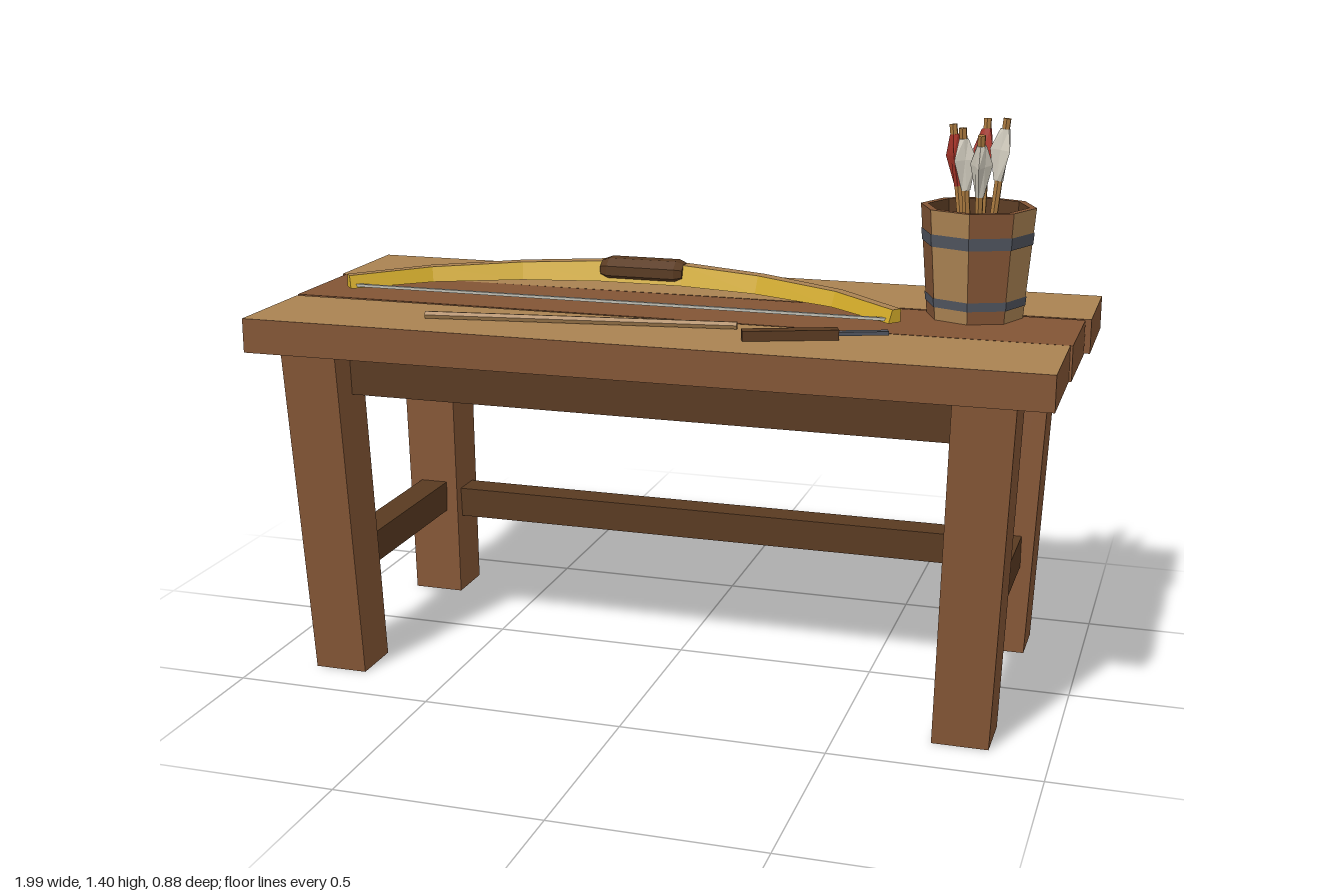
import * as THREE from 'three';

const mat = (name, color, side = THREE.FrontSide) => {
  const m = new THREE.MeshStandardMaterial({ color, side });
  m.name = name;
  return m;
};
const V = (x, y, z) => new THREE.Vector3(x, y, z);

// Flat facets for low-poly shapes
function facet(geo) {
  const g = geo.index ? geo.toNonIndexed() : geo;
  g.computeVertexNormals();
  return g;
}

// Skin a list of rings (counter-clockwise about the path) and cap the ends.
// matOf(j) gives the material index of ring side j; caps use index 0.
function loft(rings, matOf = () => 0, openStart = false) {
  const pos = [], geo = new THREE.BufferGeometry(), n = rings[0].length;
  const tri = (...pts) => pts.forEach(p => pos.push(p.x, p.y, p.z));
  for (let j = 0; j < n; j++) {
    const start = pos.length / 3, k = (j + 1) % n;
    for (let i = 0; i < rings.length - 1; i++) {
      const a = rings[i], b = rings[i + 1];
      tri(a[j], a[k], b[k]);
      tri(a[j], b[k], b[j]);
    }
    geo.addGroup(start, pos.length / 3 - start, matOf(j));
  }
  const start = pos.length / 3, first = rings[0], last = rings[rings.length - 1];
  for (let j = 1; j < n - 1; j++) {
    if (!openStart) tri(first[0], first[j + 1], first[j]);
    tri(last[0], last[j], last[j + 1]);
  }
  geo.addGroup(start, pos.length / 3 - start, 0);
  geo.setAttribute('position', new THREE.Float32BufferAttribute(pos, 3));
  geo.computeVertexNormals();
  return geo;
}

// Rectangular ring at height y
const rect = (x, y, z, w, d) => [
  V(x + w / 2, y, z + d / 2), V(x + w / 2, y, z - d / 2), V(x - w / 2, y, z - d / 2), V(x - w / 2, y, z + d / 2)];

export function createModel() {
  const root = new THREE.Group();
  root.name = 'archeryWorkbench';

  const tan = mat('paleWood', 0xaa8252, THREE.DoubleSide);
  const brown = mat('brownWood', 0x835535, THREE.DoubleSide);
  const dark = mat('darkWood', 0x593a21);
  const yellow = mat('yellowBowWood', 0xcfa828);
  const iron = mat('iron', 0x50545e);
  const shaftWood = mat('shaftWood', 0xa9793f);
  const white = mat('whiteFeather', 0xd2cdbf);
  const red = mat('redFeather', 0xa8352a);
  const cord = mat('cord', 0xbebcb2);

  const add = (name, geo, material, parent = root) => {
    const m = new THREE.Mesh(geo, material);
    m.name = name;
    parent.add(m);
    return m;
  };
  const box = (name, material, w, h, d, x, y, z, parent) => {
    const m = add(name, new THREE.BoxGeometry(w, h, d), material, parent);
    m.position.set(x, y, z);
    return m;
  };
  // Rod between two points
  const rod = (name, material, a, b, r, sides, parent) => {
    const m = add(name, facet(new THREE.CylinderGeometry(r, r, a.distanceTo(b), sides)), material, parent);
    m.position.copy(a).lerp(b, 0.5);
    m.quaternion.setFromUnitVectors(V(0, 1, 0), b.clone().sub(a).normalize());
  };

  // Table top: three slightly uneven planks, hollow underneath
  const plank = (name, face, w, d, z, turn) => {
    const geo = loft([rect(0, 0.83, 0, w, d), rect(0, 0.915, 0, w, d)], () => 1, true);
    const m = add(name, geo, [face, brown]);
    m.position.set(-0.003, 0, z);
    m.rotation.y = turn;
  };
  plank('backPlank', tan, 1.99, 0.29, -0.289, 0.007);
  plank('middlePlank', brown, 1.965, 0.28, 0, 0);
  plank('frontPlank', tan, 1.955, 0.286, 0.29, 0.006);

  // Splayed, tapering legs, hollow at the foot
  for (const sx of [-1, 1]) for (const sz of [-1, 1]) {
    const foot = rect(sx * 0.79, 0, sz * 0.307, 0.134, 0.134);
    const head = rect(sx * 0.821, 0.832, sz * 0.343, 0.144, 0.144);
    add('leg', loft([foot, head], () => 0, true), brown);
  }

  // Apron and stretchers
  box('frontApron', dark, 1.54, 0.115, 0.07, 0, 0.774, 0.3);
  box('backStretcher', dark, 1.5, 0.08, 0.08, 0, 0.25, -0.32);
  for (const sx of [-1, 1]) box('sideStretcher', dark, 0.075, 0.082, 0.53, sx * 0.8, 0.273, 0);

  // Bow lying on the table: tan back, yellow sides
  const bow = new THREE.Group();
  bow.name = 'bow';
  root.add(bow);
  const half = [[0.11, -0.165], [0.32, -0.13], [0.54, -0.04], [0.71, 0.1]];
  const path = [...half.map(([x, z]) => [-x, z]).reverse(), ...half];
  const rings = path.map(([x, z], i) => {
    const p = path[Math.max(i - 1, 0)], q = path[Math.min(i + 1, path.length - 1)];
    const len = Math.hypot(q[0] - p[0], q[1] - p[1]);
    const nx = -(q[1] - p[1]) / len, nz = (q[0] - p[0]) / len;
    const t = 1 - Math.abs(x) / 0.71;
    const y = 0.949 + 0.018 * t, h = 0.016 + 0.011 * t, w = 0.7 + 0.4 * t;
    const at = (n, dy) => V(x - 0.15 + nx * n * w, y + dy, z + nz * n * w);
    return [at(-0.022, h), at(0.014, h), at(0.03, -h), at(-0.022, -h)];
  });
  add('bowLimbs', loft(rings, j => (j === 0 ? 1 : 0)), [yellow, tan], bow);
  box('bowString', cord, 1.4, 0.007, 0.009, -0.15, 0.94, 0.1, bow);
  const gripProfile = [[0, -0.11], [0.75, -0.11], [1, -0.09], [1, 0.09], [0.75, 0.11], [0, 0.11]]
    .map(([r, y]) => new THREE.Vector2(r, y));
  const gripGeo = new THREE.LatheGeometry(gripProfile, 8, Math.PI / 8);
  gripGeo.scale(0.032, 1, 0.046).rotateZ(Math.PI / 2);
  add('bowGrip', facet(gripGeo), dark, bow).position.set(-0.15, 0.969, -0.168);

  // Octagonal bucket of alternating staves
  const bucket = new THREE.Group();
  bucket.name = 'bucket';
  bucket.position.set(0.713, 0.915, -0.122);
  root.add(bucket);
  const H = 0.27, radius = y => 0.118 + 0.022 * y / H;
  const rim = (k, r, y) => V(r * Math.cos(k * Math.PI / 4), y, r * Math.sin(k * Math.PI / 4));
  for (let k = 0; k < 8; k++) {
    const ring = y => {
      const r = radius(y);
      return [rim(k, r, y), rim(k, r - 0.018, y), rim(k + 1, r - 0.018, y), rim(k + 1, r, y)];
    };
    add('stave', loft([ring(0), ring(H)], j => [0, 2, 0, 1][j]), [brown, k % 2 ? brown : tan, dark], bucket);
  }
  add('bucketFloor', facet(new THREE.CylinderGeometry(0.105, 0.1, 0.02, 8)), dark, bucket).position.y = 0.012;
  for (const [y, h] of [[0.043, 0.022], [0.196, 0.03]]) {
    const r = s => radius(y + s * h / 2) + 0.002;
    add('ironBand', facet(new THREE.CylinderGeometry(r(1), r(-1), h, 8, 1, true)), iron, bucket).position.y = y;
  }

  // Fletching: three ridges swelling and narrowing along the shaft
  const star = (r, y) => Array.from({ length: 6 }, (_, i) => {
    const a = i * Math.PI / 3, s = i % 2 ? Math.max(r * 0.42, 0.011) : r;
    return V(s * Math.sin(a), y, s * Math.cos(a));
  });
  const featherGeo = loft([star(0.012, 0), star(0.031, 0.075), star(0.013, 0.125)]);

  // Arrows leaning outwards in the bucket
  const arrows = [
    [0.64, 1.375, -0.155, red], [0.715, 1.385, -0.21, red],
    [0.675, 1.375, -0.08, white], [0.728, 1.365, -0.03, white], [0.772, 1.395, -0.135, white],
  ];
  arrows.forEach(([x, y, z, feather], i) => {
    const top = V(x, y, z);
    const foot = V(0.713 + (x - 0.713) * 0.25, 0.94, -0.122 + (z + 0.122) * 0.25);
    const arrow = new THREE.Group();
    arrow.name = 'arrow';
    arrow.position.copy(foot);
    arrow.quaternion.setFromUnitVectors(V(0, 1, 0), top.clone().sub(foot).normalize());
    root.add(arrow);
    const len = foot.distanceTo(top);
    rod('arrowShaft', shaftWood, V(0, 0, 0), V(0, len, 0), 0.01, 6, arrow);
    const f = add('feathers', featherGeo, feather, arrow);
    f.position.y = len - 0.15;
    f.rotation.y = i * 0.7;
  });

  // Unfinished shaft and carving knife on the front plank
  rod('looseShaft', tan, V(-0.555, 0.924, 0.305), V(0.2, 0.924, 0.2), 0.01, 6);
  const knife = new THREE.Group();
  knife.name = 'knife';
  knife.position.set(0.345, 0.915, 0.266);
  knife.rotation.y = 0.36;
  root.add(knife);
  box('knifeHandle', dark, 0.225, 0.024, 0.032, 0, 0.012, 0, knife);
  box('knifeBlade', iron, 0.12, 0.009, 0.02, 0.17, 0.013, 0, knife);

  return root;
}
